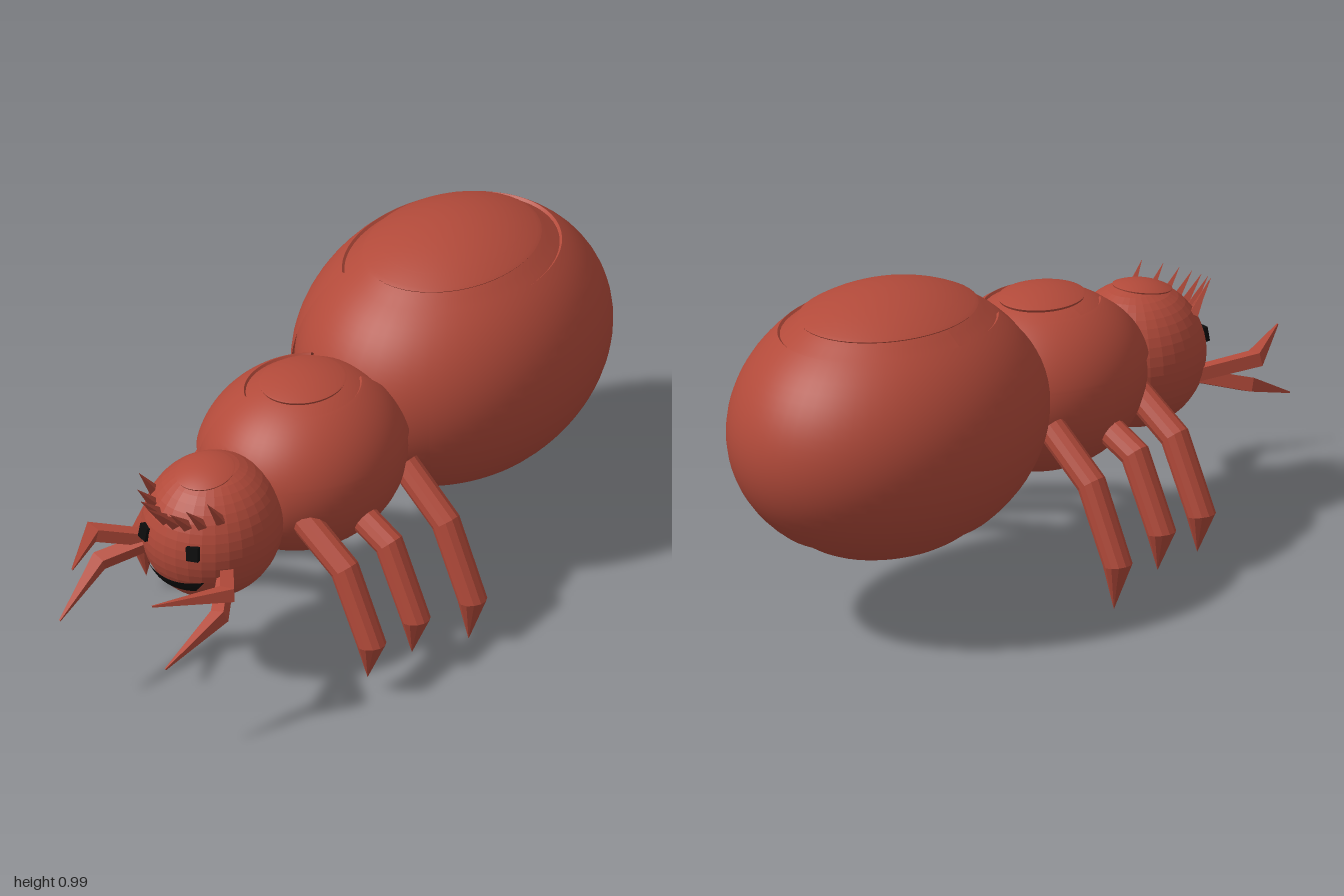
import * as THREE from 'three';

const V = (x, y, z) => new THREE.Vector3(x, y, z);
const skin = new THREE.MeshStandardMaterial({ color: 0xb24a3a, side: THREE.DoubleSide });
const facetSkin = new THREE.MeshStandardMaterial({ color: 0xb24a3a, flatShading: true });
const black = new THREE.MeshStandardMaterial({ color: 0x0c0c0c, side: THREE.DoubleSide });

function add(parent, name, geometry, material) {
  const mesh = new THREE.Mesh(geometry, material);
  mesh.name = name;
  parent.add(mesh);
  return mesh;
}

// Band of an ellipsoid between two heights (-1..1), turned in at its rims down to the core.
// Angles are in degrees around y, starting at the front.
function band(radii, low, high, start, length, core) {
  const a = Math.asin(low), b = Math.asin(high), points = [];
  const at = (t, k) => new THREE.Vector2(Math.max(0, Math.cos(t)) * k, Math.sin(t) * k);
  points.push(at(a, core), at(a, 0.998));
  for (let i = 0; i <= 20; i++) points.push(at(a + (b - a) * i / 20, 1));
  if (high < 1) points.push(at(b, 0.998), at(b, core));
  const rad = Math.PI / 180;
  return new THREE.LatheGeometry(points, 48, start * rad, length * rad).scale(radii.x, radii.y, radii.z);
}

// Ellipsoid whose vertices are moved by a rule before scaling
function shapedBall(radii, rule) {
  const geo = new THREE.SphereGeometry(1, 48, 48);
  const p = geo.attributes.position, v = V(0, 0, 0);
  for (let i = 0; i < p.count; i++) {
    rule(v.fromBufferAttribute(p, i));
    p.setXYZ(i, v.x, v.y, v.z);
  }
  geo.scale(radii.x, radii.y, radii.z);
  geo.computeVertexNormals();
  return geo;
}

// Mitred limb through a bent path, with a radius at each point
function limb(path, radii, sides) {
  const pos = [], index = [], n = path.length;
  const first = path[1].clone().sub(path[0]).normalize();
  const side = first.clone().cross(path[2].clone().sub(path[1])).normalize();
  path.forEach((pt, i) => {
    const before = i > 0 ? pt.clone().sub(path[i - 1]).normalize() : first;
    const after = i < n - 1 ? path[i + 1].clone().sub(pt).normalize() : before;
    const t = before.clone().add(after).normalize();
    const up = t.clone().cross(side).divideScalar(t.dot(before));
    for (let j = 0; j < sides; j++) {
      const a = (j + 0.5) / sides * Math.PI * 2;
      const q = pt.clone().addScaledVector(side, Math.cos(a) * radii[i]).addScaledVector(up, Math.sin(a) * radii[i]);
      pos.push(q.x, q.y, q.z);
      if (i === n - 1) continue;
      const k = (j + 1) % sides, r0 = i * sides, r1 = r0 + sides;
      index.push(r0 + j, r0 + k, r1 + j, r0 + k, r1 + k, r1 + j);
    }
  });
  const geo = new THREE.BufferGeometry();
  geo.setAttribute('position', new THREE.Float32BufferAttribute(pos, 3));
  geo.setIndex(index);
  geo.computeVertexNormals();
  return geo;
}

function makeAbdomen() {
  const g = new THREE.Group();
  g.name = 'abdomen';
  const r = V(0.405, 0.392, 0.515);
  // Core with a soft valley around the top and bottom domes
  const core = shapedBall(r, (v) => {
    const h = Math.abs(v.y);
    v.multiplyScalar(1 - 0.022 * (1 - THREE.MathUtils.smoothstep(h, 0.76, 0.9)));
  });
  add(g, 'abdomenCore', core, skin);
  add(g, 'abdomenShell', band(r, -0.73, 0.73, 39, 282, 0.96), skin);
  add(g, 'abdomenTopDome', band(r, 0.83, 1, 0, 360, 0.975), skin);
  g.position.set(0, 0.598, -0.485);
  return g;
}

function makeThorax() {
  const g = new THREE.Group();
  g.name = 'thorax';
  const r = V(0.288, 0.27, 0.33);
  // Blunt front where the head joins
  const core = shapedBall(r, (v) => {
    v.multiplyScalar(0.97);
    v.z = Math.min(v.z, 0.865);
  });
  add(g, 'thoraxCore', core, skin);
  add(g, 'thoraxLeftPlate', band(r, 0.21, 0.84, 36, 108, 0.93), skin);
  add(g, 'thoraxRightPlate', band(r, 0.21, 0.84, 216, 108, 0.93), skin);
  add(g, 'thoraxDome', band(r, 0.915, 1, 0, 360, 0.96), skin);
  g.position.set(0, 0.535, 0.165);
  return g;
}

function makeHead() {
  const g = new THREE.Group();
  g.name = 'head';
  const c = V(0, 0.494, 0.56), r = V(0.195, 0.211, 0.21);
  const surfaceZ = (x, y) =>
    c.z + r.z * Math.sqrt(Math.max(0, 1 - (x / r.x) ** 2 - ((y - c.y) / r.y) ** 2));

  add(g, 'skull', new THREE.SphereGeometry(1, 32, 24).scale(r.x, r.y, r.z), facetSkin).position.copy(c);
  // Slightly raised disc on top of the skull
  const crown = add(g, 'crown', band(r.clone().multiplyScalar(1.02), 0.91, 1, 0, 360, 0.96), skin);
  crown.position.copy(c);
  crown.rotation.x = 0.16;

  // Eyes
  for (const s of [1, -1]) {
    const eye = add(g, s > 0 ? 'leftEye' : 'rightEye', new THREE.BoxGeometry(0.036, 0.042, 0.04), black);
    eye.position.set(s * 0.085, 0.52, 0.738);
    eye.rotation.set(-0.15, s * 0.3, s * 0.12);
  }

  // Smiling mouth laid on the skull
  const mouth = new THREE.PlaneGeometry(2, 1, 20, 4);
  const p = mouth.attributes.position;
  for (let i = 0; i < p.count; i++) {
    const u = p.getX(i), v = p.getY(i) + 0.5;
    const bottom = 0.371 + 0.006 * u * u, top = 0.405 + 0.016 * u * u;
    const x = u * (0.075 + 0.035 * v), y = bottom + (top - bottom) * v;
    p.setXYZ(i, x, y, surfaceZ(x, y) + 0.005);
  }
  mouth.computeVertexNormals();
  add(g, 'mouth', mouth, black);

  // Fringe of spikes leaning forward
  for (let i = 0; i < 8; i++) {
    const u = (i - 3.5) / 3.5, x = u * 0.122, lift = 0.022 * u * u;
    const y = 0.585 + lift;
    const base = V(x, y, surfaceZ(x, y) - 0.01);
    const tip = V(x * 1.03, y + 0.078 + lift * 0.5, base.z + 0.085 - lift);
    const dir = tip.clone().sub(base);
    const spike = add(g, 'hairSpike', new THREE.ConeGeometry(0.018, dir.length(), 4), facetSkin);
    spike.position.copy(base).add(tip).multiplyScalar(0.5);
    spike.quaternion.setFromUnitVectors(V(0, 1, 0), dir.normalize());
  }
  return g;
}

function makeLimbs(s) {
  const g = new THREE.Group();
  g.name = s > 0 ? 'leftLimbs' : 'rightLimbs';

  // Three bent legs with pointed feet: name, z, sideways shift, lift of the foot, hip height
  const legs = [
    ['frontLeg', 0.365, -0.038, 0.05, 0.485],
    ['middleLeg', 0.185, -0.027, 0.05, 0.46],
    ['rearLeg', -0.03, 0, 0, 0.49],
  ];
  for (const [name, z, dx, dy, hip] of legs) {
    const path = [[0.21, hip], [0.362, 0.36 + dy * 0.4], [0.461, 0.14 + dy * 0.6], [0.446, 0.003 + dy]]
      .map(([x, y]) => V(s * (x + dx), y, z));
    add(g, name, limb(path, [0.042, 0.042, 0.041, 0], 12), facetSkin);
  }

  // Two pairs of hooked feelers beside the mouth
  const feelers = [
    ['upperFeeler', V(s * 0.13, 0.435, 0.65), V(s * 0.25, 0.475, 0.79), V(s * 0.147, 0.492, 0.998)],
    ['lowerFeeler', V(s * 0.13, 0.435, 0.65), V(s * 0.222, 0.39, 0.79), V(s * 0.195, 0.3, 0.995)],
  ];
  for (const [name, base, knee, tip] of feelers)
    add(g, name, limb([base, knee, tip], [0.026, 0.028, 0.003], 4), facetSkin);
  return g;
}

export function createModel() {
  const model = new THREE.Group();
  model.name = 'ant';
  model.add(makeAbdomen(), makeThorax(), makeHead(), makeLimbs(1), makeLimbs(-1));
  return model;
}
